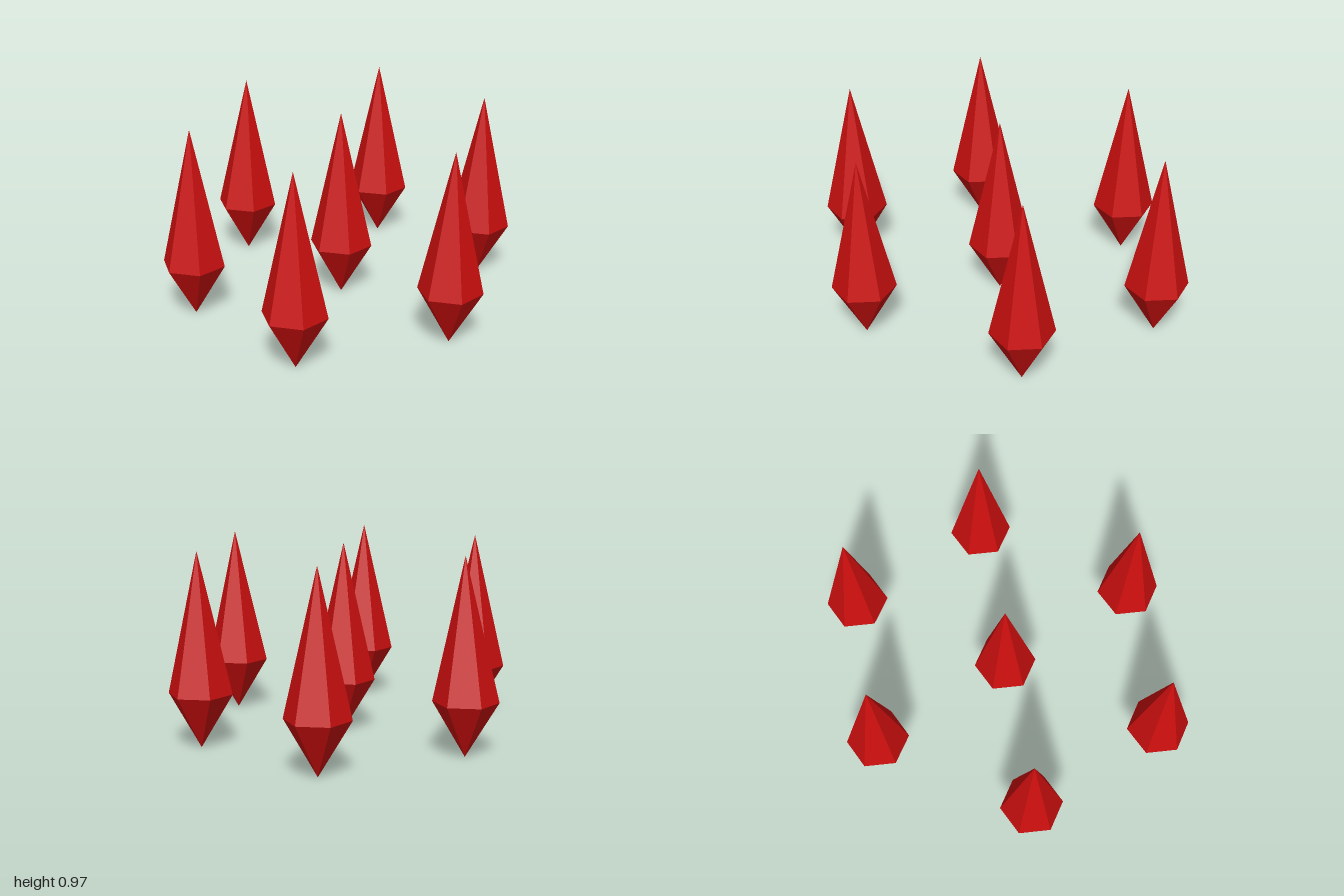
import * as THREE from 'three';

const RADIUS = 0.16, GIRDLE = 0.27, HEIGHT = 0.97;

// Six-sided spindle with its corners on the x axis; lean shifts the upper tip sideways
function crystalGeometry(lean) {
  const profile = [[0, 0], [RADIUS, GIRDLE], [0, HEIGHT]].map(([r, y]) => new THREE.Vector2(r, y));
  const geometry = new THREE.LatheGeometry(profile, 6, Math.PI / 6);
  const pos = geometry.attributes.position;
  for (let i = 0; i < pos.count; i++) {
    if (pos.getY(i) > HEIGHT - 0.01) pos.setX(i, pos.getX(i) + lean);
  }
  geometry.computeVertexNormals();
  return geometry;
}

export function createModel() {
  const model = new THREE.Group();
  model.name = 'crystalCluster';
  const red = new THREE.MeshStandardMaterial({ color: 0xcc0f0f, flatShading: true });

  // One crystal in the middle and six around it: name, x, z, lean of the tip
  const crystals = [
    ['centreCrystal', 0, 0, 0],
    ['frontCrystal', 0, 0.86, 0],
    ['backCrystal', 0, -0.86, 0],
    ['frontLeftCrystal', 0.645, 0.43, 0.007],
    ['backLeftCrystal', 0.645, -0.43, 0.007],
    ['frontRightCrystal', -0.645, 0.43, 0.003],
    ['backRightCrystal', -0.645, -0.43, 0.012],
  ];
  for (const [name, x, z, lean] of crystals) {
    const crystal = new THREE.Mesh(crystalGeometry(lean), red);
    crystal.name = name;
    crystal.position.set(x, 0, z);
    model.add(crystal);
  }
  return model;
}
